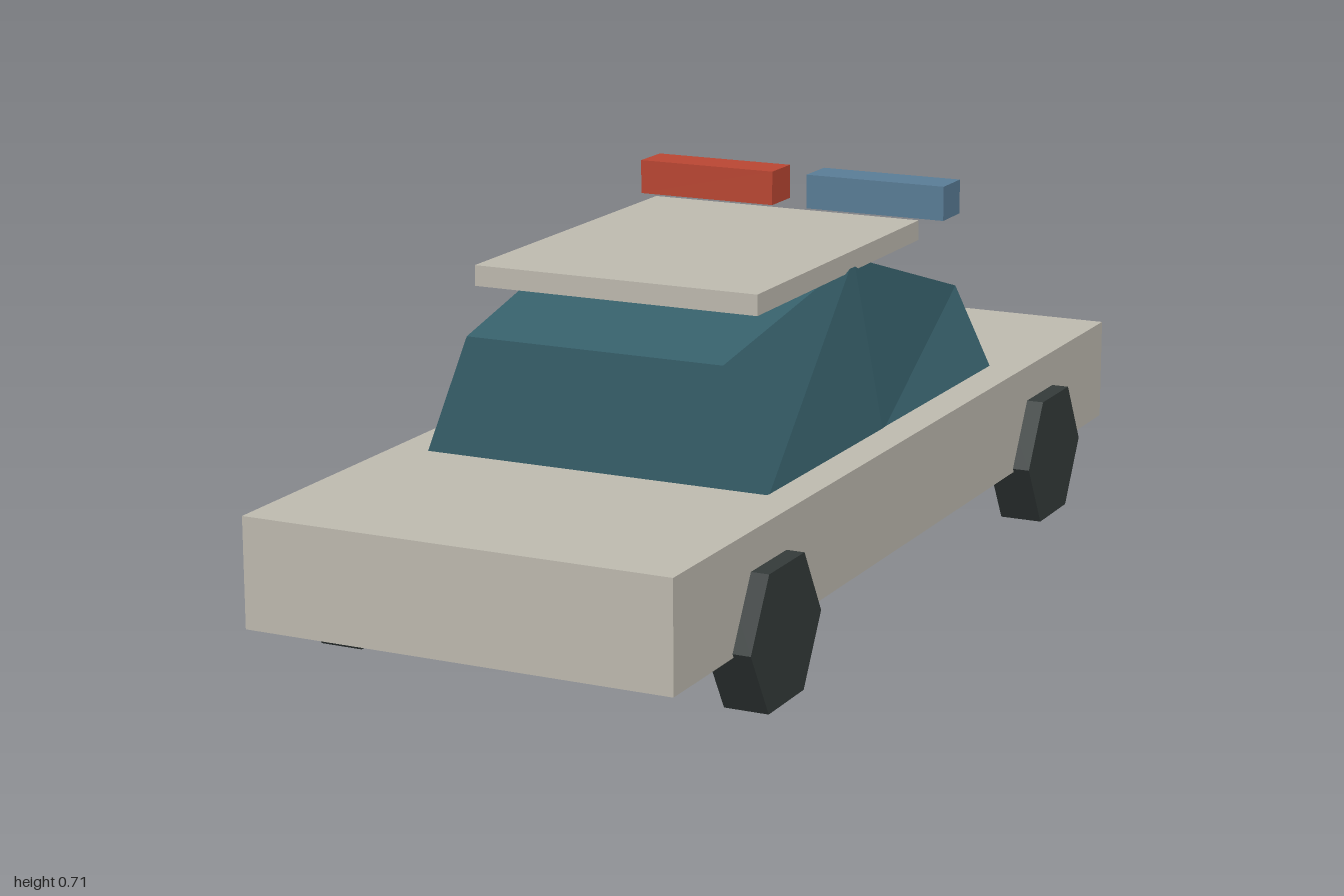
import * as THREE from 'three';

const paint = (name, color) => {
  const m = new THREE.MeshStandardMaterial({ color });
  m.name = name;
  return m;
};

export function createModel() {
  const car = new THREE.Group();
  car.name = 'patrolCar';
  const cream = paint('creamPaint', 0xbfbbb0);
  const glass = paint('tealGlass', 0x37606b);
  const rubber = paint('darkRubber', 0x343b3a);
  const red = paint('redLamp', 0xba4733);
  const blue = paint('blueLamp', 0x5a7d97);

  const add = (name, geometry, material, x = 0, y = 0, z = 0) => {
    const mesh = new THREE.Mesh(geometry, material);
    mesh.name = name;
    mesh.position.set(x, y, z);
    car.add(mesh);
  };

  // Lower body and floating roof panel
  add('body', new THREE.BoxGeometry(0.81, 0.2, 2), cream, 0, 0.215, 0);
  add('roof', new THREE.BoxGeometry(0.558, 0.038, 0.72), cream, 0, 0.627, 0.06);

  // Cabin: a box with rear, middle and front sections, tapered and peaked
  const sections = [
    { z: -0.54, top: 0.47, half: 0.26 },
    { z: 0, top: 0.63, half: 0.276 },
    { z: 0.5, top: 0.535, half: 0.252 },
  ];
  const box = new THREE.BoxGeometry(2, 2, 2, 1, 1, 2);
  const p = box.attributes.position;
  for (let i = 0; i < p.count; i++) {
    const s = sections[Math.round(p.getZ(i)) + 1];
    const upper = p.getY(i) > 0;
    p.setXYZ(i, Math.sign(p.getX(i)) * (upper ? s.half : 0.338), upper ? s.top : 0.31, s.z);
  }
  const cabin = box.toNonIndexed();
  cabin.computeVertexNormals();
  add('cabin', cabin, glass);

  // Roof lamps
  const lamp = new THREE.BoxGeometry(0.285, 0.066, 0.082);
  add('redLight', lamp, red, -0.179, 0.678, -0.36);
  add('blueLight', lamp, blue, 0.179, 0.678, -0.36);

  // Six-sided wheels with corners pointing fore and aft
  const wheel = new THREE.CylinderGeometry(0.1415, 0.1415, 0.083, 6).toNonIndexed();
  wheel.rotateZ(Math.PI / 2);
  wheel.computeVertexNormals();
  for (const [end, z] of [['front', 0.64], ['rear', -0.64]]) {
    for (const [side, x] of [['Left', 0.397], ['Right', -0.397]]) {
      add(`${end}${side}Wheel`, wheel, rubber, x, 0.1225, z);
    }
  }
  return car;
}
